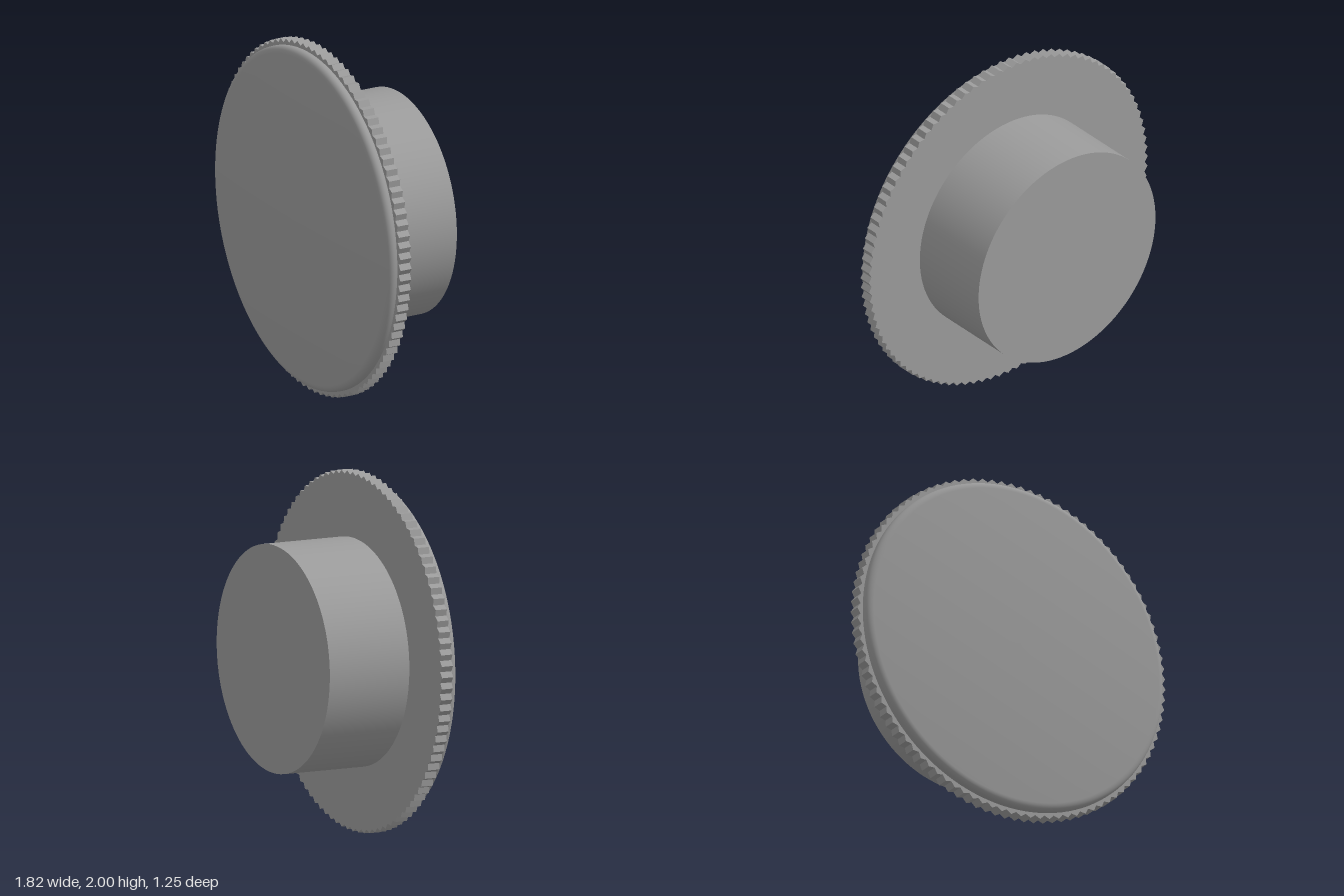
import * as THREE from 'three';

const material = new THREE.MeshStandardMaterial({ color: 0x9b9b9b });

// Flat ring of triangular teeth, thickened along the knob axis (z)
function knurledRim(teeth, outer, root, thickness) {
  const shape = new THREE.Shape();
  for (let i = 0; i < teeth * 2; i++) {
    const a = (i / (teeth * 2)) * Math.PI * 2;
    const r = i % 2 ? root : outer;
    const x = r * Math.cos(a), y = r * Math.sin(a);
    if (i) shape.lineTo(x, y);
    else shape.moveTo(x, y);
  }
  shape.closePath();
  return new THREE.ExtrudeGeometry(shape, { depth: thickness, bevelEnabled: false });
}

// Shallow dome with a rounded edge, as a turned profile
function domedCap(radius, height) {
  const domeAt = (r) => height - 0.05 * r * r;
  const inner = radius - 0.04;
  const edge = new THREE.CubicBezierCurve(
    new THREE.Vector2(radius, 0.012),
    new THREE.Vector2(radius, 0.034),
    new THREE.Vector2(radius - 0.018, domeAt(radius - 0.018)),
    new THREE.Vector2(inner, domeAt(inner))
  );
  const profile = [new THREE.Vector2(radius, 0), ...edge.getPoints(8)];
  for (let i = 1; i <= 12; i++) {
    const r = inner * (1 - i / 12);
    profile.push(new THREE.Vector2(r, domeAt(r)));
  }
  return new THREE.LatheGeometry(profile, 128);
}

export function createModel() {
  const knob = new THREE.Group();
  knob.name = 'knob';
  const add = (name, geometry) => {
    const mesh = new THREE.Mesh(geometry, material);
    mesh.name = name;
    knob.add(mesh);
    return mesh;
  };

  // Knurled rim, its front face at local z = 0
  const rimThickness = 0.07;
  add('knurledRim', knurledRim(100, 1, 0.98, rimThickness)).position.z = -rimThickness;

  // Domed front cap
  add('domedCap', domedCap(0.965, 0.093)).rotation.x = Math.PI / 2;

  // Plain cylindrical hub behind the rim
  const hubDepth = 0.5;
  const hub = add('hub', new THREE.CylinderGeometry(0.634, 0.634, hubDepth, 96));
  hub.rotation.x = Math.PI / 2;
  hub.position.z = -rimThickness - hubDepth / 2;

  // The whole knob is turned about the vertical axis
  knob.rotation.y = THREE.MathUtils.degToRad(-26.3);
  knob.position.set(-0.013, 1, 0.166);

  const model = new THREE.Group();
  model.add(knob);
  return model;
}
